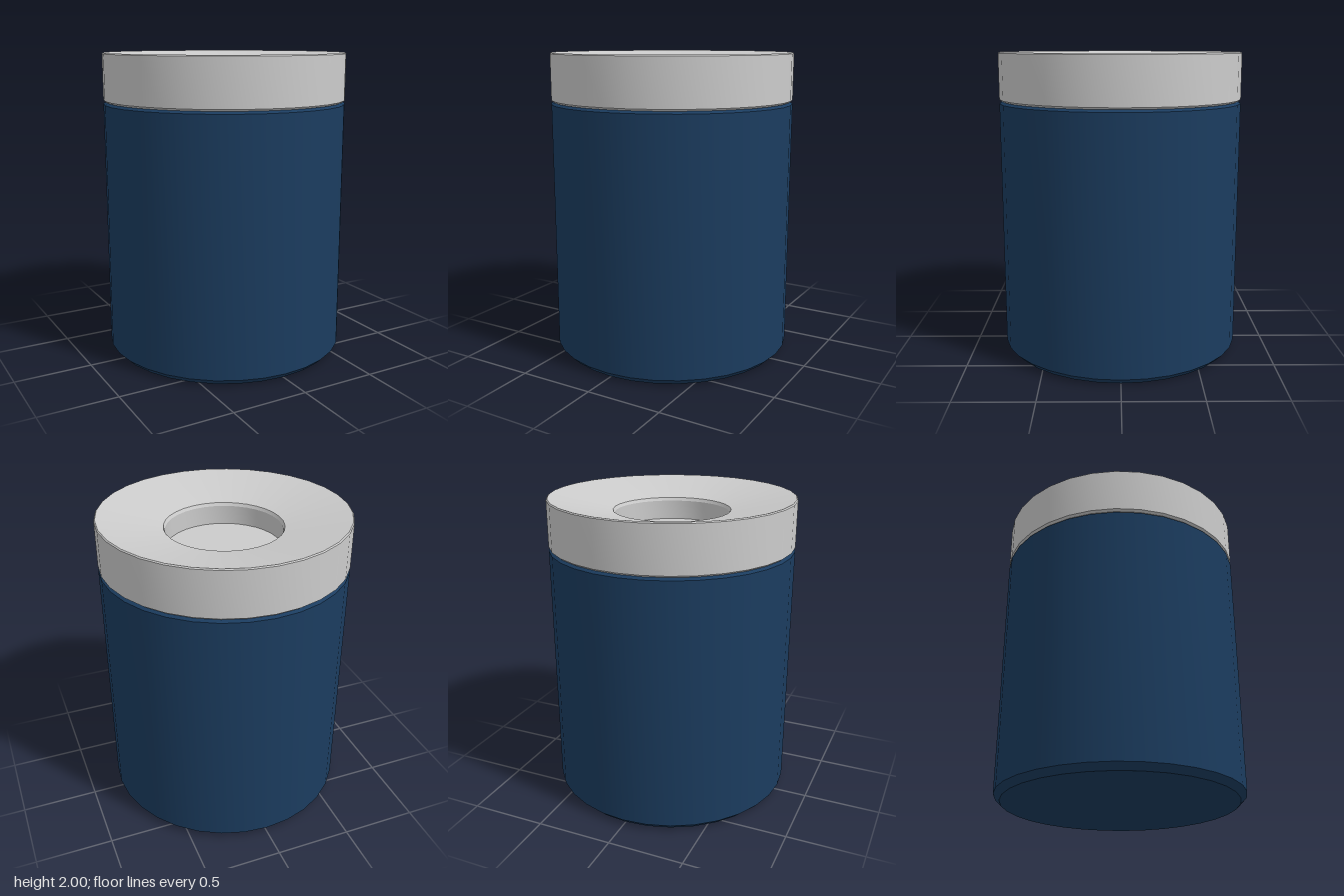
import * as THREE from 'three';
import { toCreasedNormals } from 'three/addons/utils/BufferGeometryUtils.js';

const SIDES = 32;

// Turn a [radius, height] profile, listed from the bottom axis to the top axis
function turned(name, profile, color) {
  const points = profile.map(([r, y]) => new THREE.Vector2(r, y));
  const geometry = toCreasedNormals(new THREE.LatheGeometry(points, SIDES), Math.PI / 7);
  const mesh = new THREE.Mesh(geometry, new THREE.MeshStandardMaterial({ color }));
  mesh.name = name;
  return mesh;
}

export function createModel() {
  const group = new THREE.Group();
  group.name = 'canister';

  // Body with chamfered foot and shoulder
  group.add(turned('body', [
    [0, 0], [0.76, 0], [0.8, 0.04], [0.8, 1.67], [0.775, 1.687], [0, 1.687],
  ], 0x1b3c5f));

  // Cap: bevelled rim, dished top face and a round recess with a flat floor
  group.add(turned('cap', [
    [0, 1.685], [0.785, 1.685], [0.8, 1.697], [0.8, 1.993], [0.793, 2],
    [0.38, 1.91], [0.37, 1.89], [0.37, 1.765], [0, 1.765],
  ], 0xcccccc));

  return group;
}
